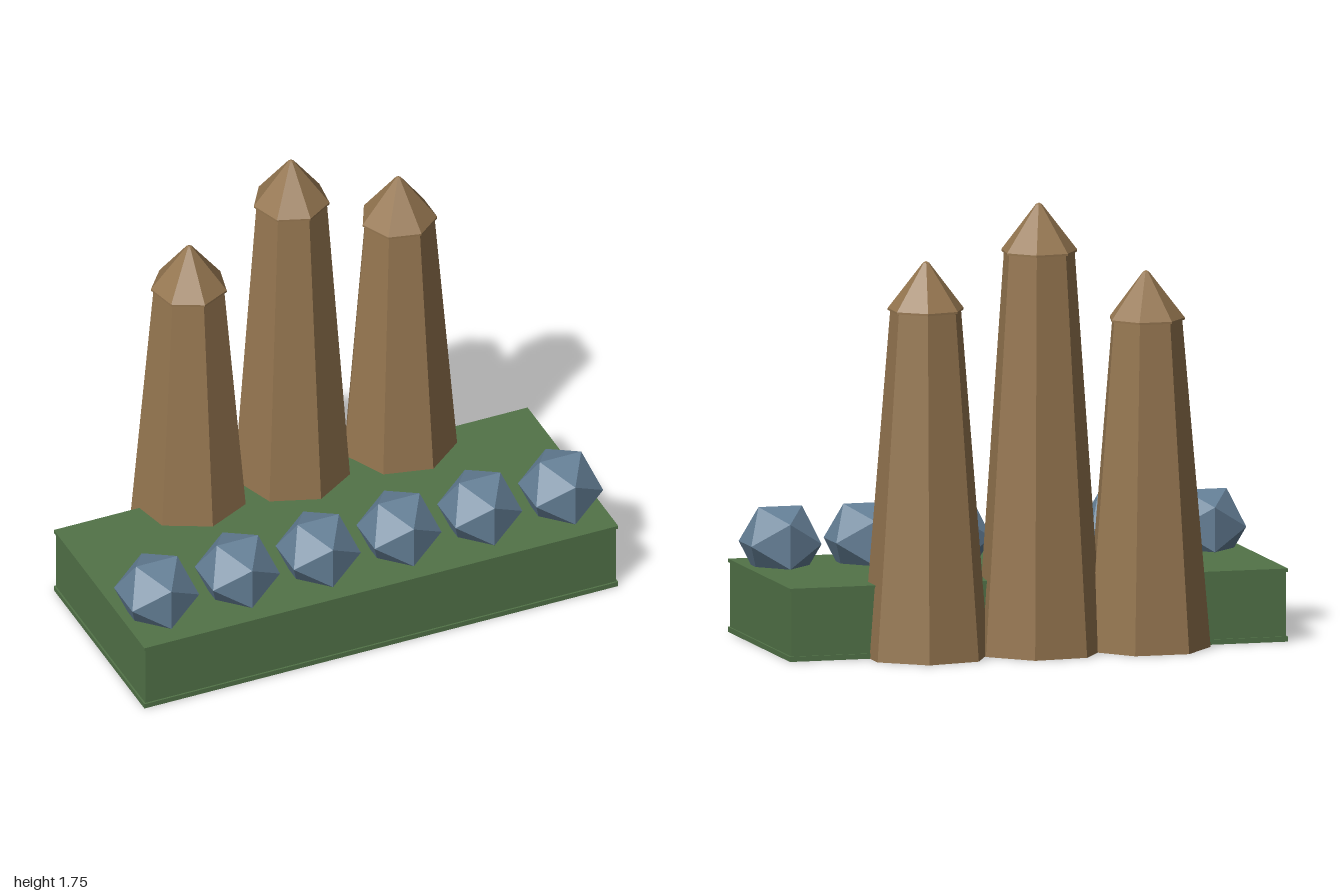
import * as THREE from 'three';

const mat = (name, color) => {
  const m = new THREE.MeshStandardMaterial({ color });
  m.name = name;
  m.flatShading = true;
  return m;
};

export function createModel() {
  const model = new THREE.Group();
  model.name = 'rockSpires';
  const green = mat('mossGreen', 0x527348);
  const brown = mat('earthBrown', 0x957650);
  const blue = mat('slateBlue', 0x647f96);

  const add = (parent, name, geometry, material, x, y, z) => {
    const mesh = new THREE.Mesh(geometry, material);
    mesh.name = name;
    mesh.position.set(x, y, z);
    parent.add(mesh);
    return mesh;
  };

  // Planter block with a thin lip along its top and bottom edges
  const slab = (name, w, d, y0, y1) =>
    add(model, name, new THREE.BoxGeometry(w, y1 - y0, d), green, 0, (y0 + y1) / 2, 0.12);
  slab('baseBody', 1.986, 0.846, 0.01, 0.28);
  slab('baseTopLip', 2, 0.86, 0.272, 0.285);
  slab('baseBottomLip', 2, 0.86, 0, 0.02);

  // Seven-sided tapering spires with pointed, slightly overhanging caps
  const capProfile = [[0, -0.004], [0.15, -0.004], [0.15, 0.004], [0.012, 0.184], [0, 0.19]]
    .map(([r, y]) => new THREE.Vector2(r, y));
  for (const [x, height, turn] of [[-0.43, 1.28, 0], [0, 1.56, 0.11], [0.453, 1.35, 0.22]]) {
    const spire = new THREE.Group();
    spire.name = 'spire';
    spire.position.set(x, 0, -0.307);
    spire.rotation.y = turn;
    add(spire, 'spireShaft', new THREE.CylinderGeometry(0.14, 0.25, height, 7), brown, 0, height / 2, 0);
    add(spire, 'spireCap', new THREE.LatheGeometry(capProfile, 7), brown, 0, height, 0);
    model.add(spire);
  }

  // Row of faceted stones along the front, sunk a little into the base
  for (let i = 0; i < 6; i++) {
    add(model, 'stone', new THREE.IcosahedronGeometry(0.166, 0), blue, -0.852 + i * 0.341, 0.372, 0.333);
  }
  return model;
}
